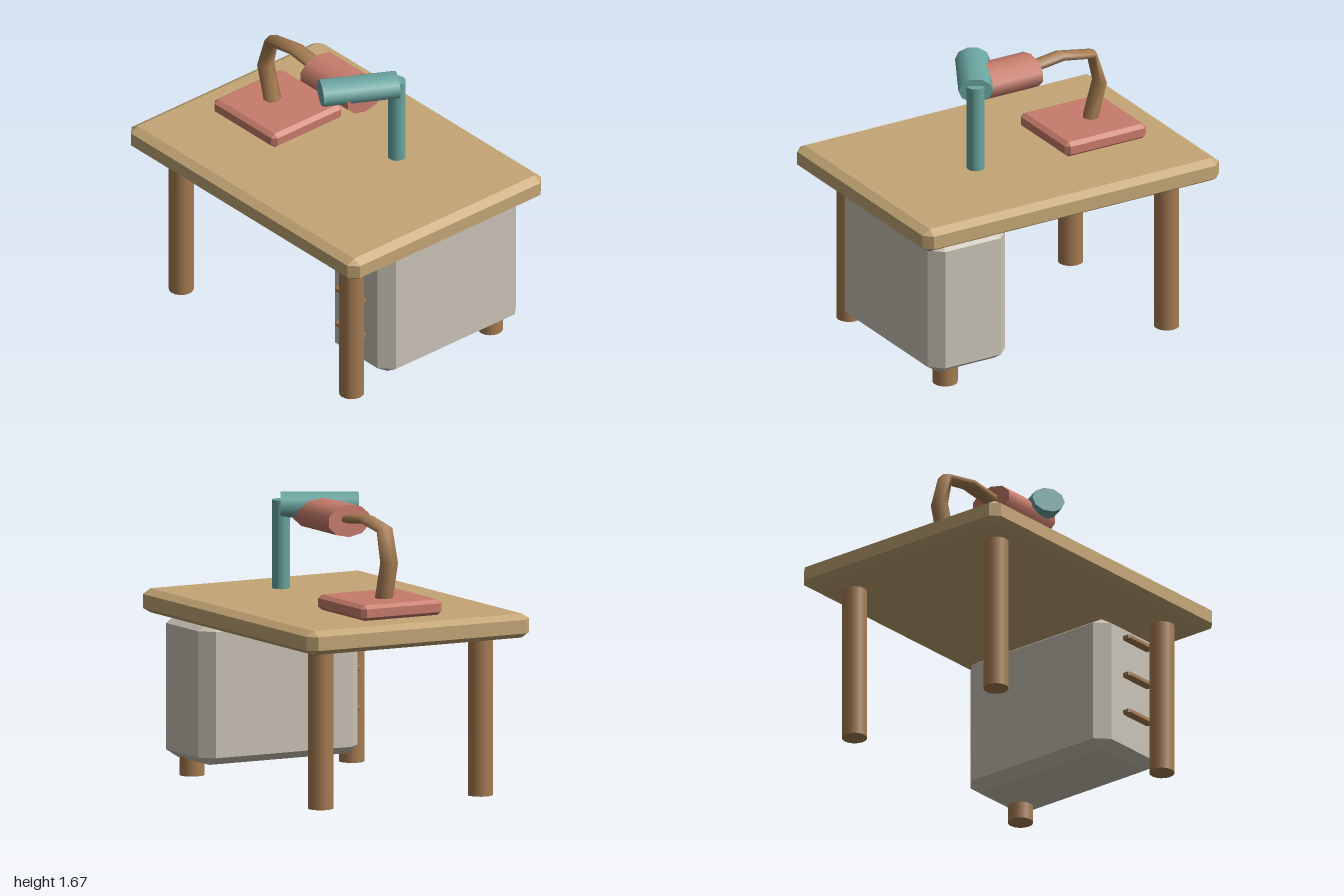
import * as THREE from 'three';
import { ConvexGeometry } from 'three/addons/geometries/ConvexGeometry.js';

export function createModel() {
  const model = new THREE.Group();
  const mat = (name, color) => {
    const m = new THREE.MeshStandardMaterial({ color });
    m.name = name;
    return m;
  };
  const tan = mat('tan wood', 0xc4a676);
  const brown = mat('brown wood', 0xa67c52);
  const grey = mat('warm grey', 0xc9c2b5);
  const red = mat('dusty red', 0xc87c6c);
  const teal = mat('teal', 0x6aa6a1);

  const add = (name, geometry, material) => {
    const mesh = new THREE.Mesh(geometry, material);
    mesh.name = name;
    model.add(mesh);
    return mesh;
  };

  // Box with every edge cut; min and max corners, bevel inset per axis
  const bevelBox = (min, max, bevel) => {
    const c = min.map((v, i) => (v + max[i]) / 2);
    const h = min.map((v, i) => (max[i] - v) / 2);
    const points = [];
    for (const sx of [-1, 1]) for (const sy of [-1, 1]) for (const sz of [-1, 1]) {
      const s = [sx, sy, sz];
      for (let face = 0; face < 3; face++) {
        points.push(new THREE.Vector3(...s.map((k, i) =>
          c[i] + k * (h[i] - (i === face ? 0 : bevel[i])))));
      }
    }
    return new ConvexGeometry(points);
  };

  // Table top and its four legs
  add('tableTop', bevelBox([-1, 0.93, -0.737], [1, 1.07, 0.737], [0.05, 0.03, 0.05]), tan);
  for (const x of [-0.747, 0.747]) for (const z of [-0.527, 0.53]) {
    const leg = add('leg', new THREE.CylinderGeometry(0.073, 0.073, 0.93, 16), brown);
    leg.position.set(x, 0.465, z);
  }

  // Drawer cabinet with three handles
  add('drawerCabinet', bevelBox([0.375, 0.1, -0.655], [0.9, 0.93, 0.4], [0.075, 0.048, 0.075]), grey);
  for (const y of [0.34, 0.575, 0.81]) {
    add('drawerHandle', bevelBox([0.525, y - 0.016, 0.415], [0.75, y + 0.016, 0.47], [0.015, 0.006, 0.01]), brown);
  }

  // Lamp base
  add('lampBase', bevelBox([-0.783, 1.07, -0.267], [-0.235, 1.16, 0.267], [0.027, 0.02, 0.027]), red);

  // Bent lamp arm: x, y and half thickness of each cross-section
  const rings = [
    [-0.548, 1.13, 0.046], [-0.617, 1.37, 0.043], [-0.565, 1.555, 0.028],
    [-0.35, 1.592, 0.028], [-0.14, 1.565, 0.028],
  ];
  const sides = 6, pos = [], idx = [];
  rings.forEach(([x, y, w], i) => {
    const a = rings[Math.max(i - 1, 0)], b = rings[Math.min(i + 1, rings.length - 1)];
    const t = new THREE.Vector2(b[0] - a[0], b[1] - a[1]).normalize();
    for (let j = 0; j < sides; j++) {
      const ang = (j / sides) * Math.PI * 2, r = w * Math.cos(ang);
      pos.push(x - t.y * r, y + t.x * r, 0.054 * Math.sin(ang));
      if (i < rings.length - 1) {
        const p = i * sides + j, q = i * sides + (j + 1) % sides;
        idx.push(p, q, q + sides, p, q + sides, p + sides);
      }
    }
  });
  const arm = new THREE.BufferGeometry();
  arm.setAttribute('position', new THREE.Float32BufferAttribute(pos, 3));
  arm.setIndex(idx);
  arm.computeVertexNormals();
  add('lampArm', arm, brown);

  // Ten-sided oval cylinder used for the lamp head and the crossbar
  const oval = (rx, length, rz) =>
    new THREE.CylinderGeometry(1, 1, 1, 10, 1, false, Math.PI / 2).scale(rx, length, rz);
  const head = add('lampHead', oval(0.095, 0.415, 0.142).rotateZ(-Math.PI / 2), red);
  head.position.set(0.053, 1.555, 0);

  // Slanted crossbar with a hanging post at its rear end
  const bar = add('crossbar', oval(0.1, 0.45, 0.0735).rotateX(Math.PI / 2), teal);
  bar.rotation.y = Math.atan2(-0.219, 0.394);
  bar.position.set(0.219, 1.6, 0.016);
  const post = add('hangingPost', new THREE.CylinderGeometry(0.052, 0.052, 0.515, 12), teal);
  post.position.set(0.328, 1.3725, -0.178);

  return model;
}
